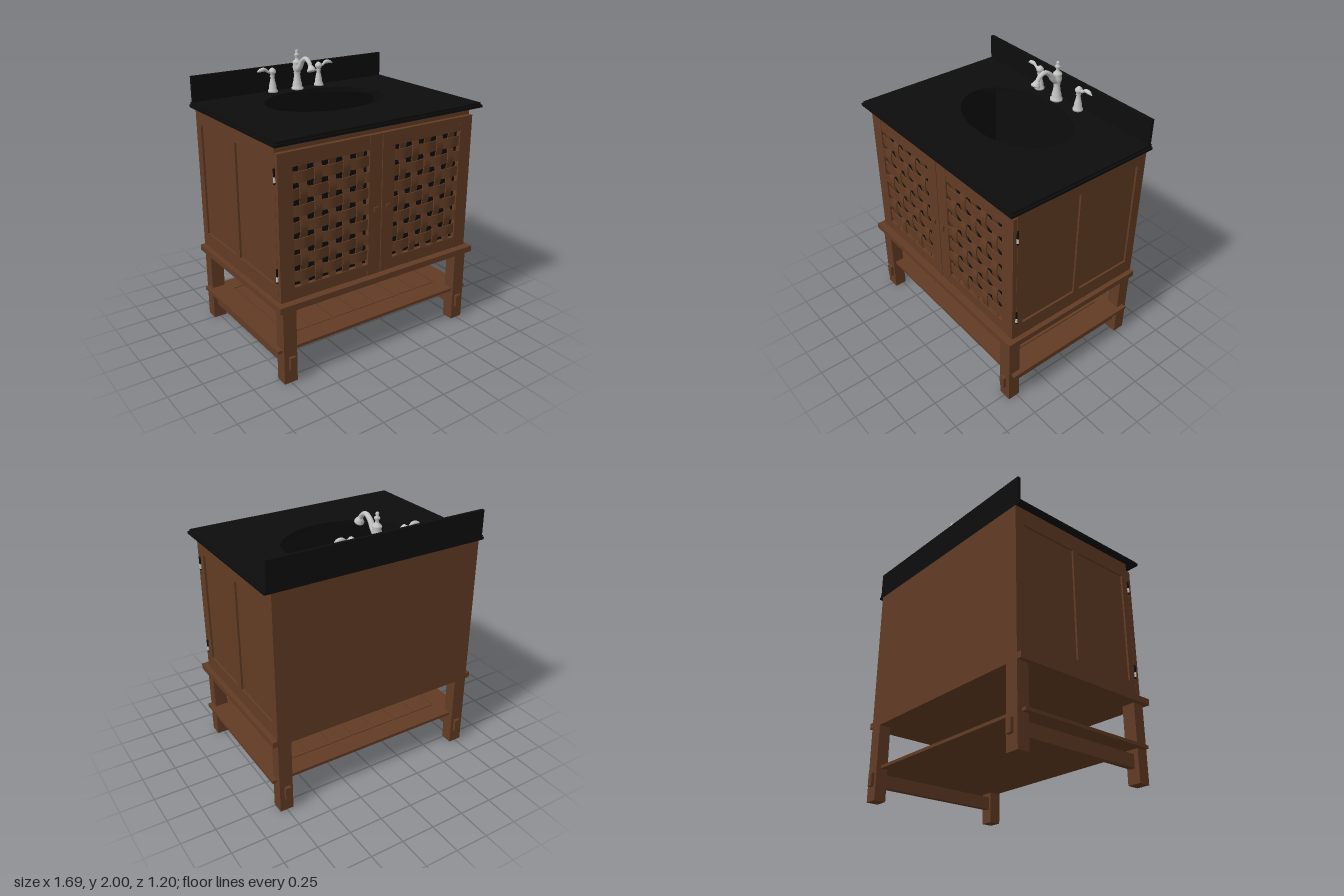
import * as THREE from 'three';

const material = (name, color, side = THREE.FrontSide) => {
  const m = new THREE.MeshStandardMaterial({ color, side });
  m.name = name;
  return m;
};

export function createModel() {
  const wood = material('brown wood', 0x623c24);
  const stone = material('black stone', 0x0d0d0d);
  const metal = material('brushed metal', 0xc4c4c4);
  const model = new THREE.Group();
  model.name = 'vanity';

  const add = (name, geometry, mat, parent = model) => {
    const mesh = new THREE.Mesh(geometry, mat);
    mesh.name = name;
    parent.add(mesh);
    return mesh;
  };
  // Box given by its extents on each axis
  const box = (name, x0, x1, y0, y1, z0, z1, mat = wood, parent = model) => {
    const mesh = add(name, new THREE.BoxGeometry(Math.abs(x1 - x0), y1 - y0, z1 - z0), mat, parent);
    mesh.position.set((x0 + x1) / 2, (y0 + y1) / 2, (z0 + z1) / 2);
    return mesh;
  };
  const group = (name) => {
    const g = new THREE.Group();
    g.name = name;
    model.add(g);
    return g;
  };
  const rect = (Type, x0, x1, y0, y1) => {
    const p = new Type();
    p.moveTo(x0, y0).lineTo(x1, y0).lineTo(x1, y1).lineTo(x0, y1).closePath();
    return p;
  };
  const lathe = (name, points, parent) =>
    add(name, new THREE.LatheGeometry(points.map(([r, y]) => new THREE.Vector2(r, y)), 28), metal, parent);
  // Round tube along a curve whose radius follows a list of values
  const taperedTube = (name, points, radii, parent) => {
    const curve = new THREE.CatmullRomCurve3(points.map((p) => new THREE.Vector3(...p)));
    const n = 28, sides = 14;
    const geo = new THREE.TubeGeometry(curve, n, 1, sides);
    const pos = geo.attributes.position, v = new THREE.Vector3();
    for (let i = 0; i <= n; i++) {
      const t = (i / n) * (radii.length - 1), k = Math.min(Math.floor(t), radii.length - 2);
      const r = THREE.MathUtils.lerp(radii[k], radii[k + 1], t - k);
      const c = curve.getPointAt(i / n);
      for (let j = 0; j <= sides; j++) {
        const q = i * (sides + 1) + j;
        v.fromBufferAttribute(pos, q).sub(c).multiplyScalar(r).add(c);
        pos.setXYZ(q, v.x, v.y, v.z);
      }
    }
    geo.computeVertexNormals();
    return add(name, geo, metal, parent);
  };

  // Legs and side stretchers with through tenons
  const stand = group('stand');
  for (const s of [-1, 1]) {
    box('frontLeg', s * 0.7, s * 0.8, 0, 0.556, 0.48, 0.57, wood, stand);
    box('backLeg', s * 0.7, s * 0.8, 0, 0.556, -0.58, -0.49, wood, stand);
    box('stretcher', s * 0.722, s * 0.765, 0.105, 0.2, -0.603, 0.592, wood, stand);
  }
  box('baseMoulding', -0.835, 0.835, 0.556, 0.6, -0.58, 0.6, wood, stand);

  // Lower shelf: board, raised border and slats
  const shelf = group('shelf');
  box('shelfBoard', -0.835, 0.835, 0.235, 0.247, -0.545, 0.55, wood, shelf);
  for (const s of [-1, 1]) {
    box('shelfEnd', s * 0.665, s * 0.835, 0.247, 0.257, -0.545, 0.55, wood, shelf);
  }
  box('shelfFrontRail', -0.665, 0.665, 0.247, 0.257, 0.4, 0.55, wood, shelf);
  box('shelfBackRail', -0.665, 0.665, 0.247, 0.257, -0.545, -0.4, wood, shelf);
  for (let i = 0; i < 7; i++) {
    const x = -0.657 + i * 0.188;
    box('shelfSlat', x, x + 0.179, 0.247, 0.256, -0.392, 0.392, wood, shelf);
  }

  // Cabinet carcass with framed sides
  const cabinet = group('cabinet');
  box('backPanel', -0.8, 0.8, 0.6, 1.668, -0.58, -0.56, wood, cabinet);
  const frameShape = rect(THREE.Shape, -0.515, 0.56, 0.6, 1.668);
  frameShape.holes.push(rect(THREE.Path, -0.46, 0, 0.71, 1.545), rect(THREE.Path, 0.05, 0.51, 0.71, 1.545));
  for (const s of [-1, 1]) {
    const frame = add('sideFrame',
      new THREE.ExtrudeGeometry(frameShape, { depth: 0.02, bevelEnabled: false }), wood, cabinet);
    frame.rotation.y = Math.PI / 2;
    frame.position.x = s > 0 ? 0.78 : -0.8;
    box('sidePanel', s * 0.77, s * 0.785, 0.6, 1.668, -0.56, 0.5, wood, cabinet);
    box('frontPost', s * 0.7, s * 0.78, 0.6, 1.668, 0.49, 0.515, wood, cabinet);
    box('sideLining', s * 0.76, s * 0.768, 0.601, 1.668, -0.55, 0.49, stone, cabinet);
  }
  box('frontRail', -0.7, 0.7, 1.6, 1.668, 0.49, 0.514, wood, cabinet);
  box('backLining', -0.76, 0.76, 0.601, 1.668, -0.558, -0.55, stone, cabinet);
  box('frontLining', -0.76, 0.76, 0.601, 1.668, 0.481, 0.489, stone, cabinet);
  box('doorBacking', -0.7, 0.7, 0.601, 1.6, 0.5, 0.508, stone, cabinet);

  // Doors with basket-weave panels, knobs and hinges
  const px = 0.109, py = 0.1125, x0 = 0.178, y0 = 0.762, wave = 0.008;
  for (const s of [-1, 1]) {
    const door = group(s > 0 ? 'leftDoor' : 'rightDoor');
    box('outerStile', s * 0.693, s * 0.8, 0.603, 1.61, 0.517, 0.55, wood, door);
    box('innerStile', s * 0.003, s * 0.105, 0.603, 1.61, 0.517, 0.55, wood, door);
    box('topRail', s * 0.105, s * 0.693, 1.51, 1.61, 0.517, 0.548, wood, door);
    box('bottomRail', s * 0.105, s * 0.693, 0.603, 0.688, 0.517, 0.548, wood, door);
    for (let j = 0; j < 7; j++) {
      const geo = new THREE.BoxGeometry(0.59, 0.074, 0.008, 40, 1, 1);
      const p = geo.attributes.position;
      for (let k = 0; k < p.count; k++) {
        const a = (Math.PI * (p.getX(k) + 0.399 - x0)) / px + j * Math.PI;
        p.setZ(k, p.getZ(k) + wave * Math.cos(a));
      }
      geo.computeVertexNormals();
      add('horizontalStrip', geo, wood, door).position.set(s * 0.399, y0 + j * py, 0.54);
    }
    for (let i = 0; i < 5; i++) {
      const geo = new THREE.BoxGeometry(0.056, 0.83, 0.008, 1, 56, 1);
      const p = geo.attributes.position;
      const start = s > 0 ? i : 4 - i;
      for (let k = 0; k < p.count; k++) {
        const a = (Math.PI * (p.getY(k) + 1.099 - y0)) / py + start * Math.PI;
        p.setZ(k, p.getZ(k) - wave * Math.cos(a));
      }
      geo.computeVertexNormals();
      add('verticalStrip', geo, wood, door).position.set(s * (x0 + i * px), 1.099, 0.54);
    }
    const stem = add('knobStem', new THREE.CylinderGeometry(0.008, 0.01, 0.012, 12), stone, door);
    stem.rotation.x = Math.PI / 2;
    stem.position.set(s * 0.05, 1.088, 0.555);
    box('knob', s * 0.032, s * 0.068, 1.07, 1.106, 0.557, 0.567, wood, door);
    for (const y of [0.79, 1.462]) {
      add('hingeBarrel', new THREE.CylinderGeometry(0.007, 0.007, 0.1, 10), stone, door)
        .position.set(s * 0.804, y, 0.517);
      add('hingePin', new THREE.CylinderGeometry(0.008, 0.008, 0.035, 10), metal, door)
        .position.set(s * 0.804, y - 0.022, 0.517);
    }
  }

  // Countertop in two stepped layers with an oval basin opening
  const counter = group('counter');
  for (const [name, w, front, y, h] of [
    ['counterEdge', 0.845, 0.6, 1.668, 0.018], ['counterTop', 0.834, 0.59, 1.686, 0.016]]) {
    const shape = rect(THREE.Shape, -w, w, -front, 0.58);
    const hole = new THREE.Path();
    hole.absellipse(0, 0.127, 0.462, 0.325, 0, Math.PI * 2, true);
    shape.holes.push(hole);
    const slab = add(name,
      new THREE.ExtrudeGeometry(shape, { depth: h, bevelEnabled: false, curveSegments: 48 }), stone, counter);
    slab.rotation.x = -Math.PI / 2;
    slab.position.y = y;
  }
  box('backsplash', -0.826, 0.826, 1.7, 1.886, -0.58, -0.557, stone, counter);

  // Faucet: turned column with finial and curved spout
  const faucet = group('faucet');
  faucet.position.set(0, 1.702, -0.5);
  lathe('faucetColumn', [[0, 0], [0.046, 0], [0.046, 0.012], [0.036, 0.022], [0.036, 0.04], [0.028, 0.07],
    [0.022, 0.115], [0.026, 0.125], [0.024, 0.135], [0.031, 0.15], [0.033, 0.17], [0.028, 0.19],
    [0.034, 0.2], [0.03, 0.21], [0.014, 0.225], [0.011, 0.24], [0.02, 0.255], [0.018, 0.265],
    [0.008, 0.272], [0.013, 0.285], [0.008, 0.296], [0, 0.298]], faucet);
  taperedTube('spout', [[0, 0.145, 0], [0, 0.175, 0.04], [0, 0.225, 0.08], [0, 0.247, 0.125],
    [0, 0.225, 0.17], [0, 0.185, 0.193]], [0.026, 0.022, 0.019, 0.017, 0.016, 0.016], faucet);
  const nozzle = lathe('nozzle', [[0, -0.024], [0.032, -0.024], [0.034, -0.014], [0.024, 0.004],
    [0.017, 0.018], [0, 0.02]], faucet);
  nozzle.position.set(0, 0.188, 0.194);
  nozzle.rotation.x = -0.4;

  // Handles with outward levers
  for (const s of [-1, 1]) {
    const handle = group(s > 0 ? 'leftHandle' : 'rightHandle');
    handle.position.set(s * 0.203, 1.702, -0.517);
    lathe('handleColumn', [[0, 0], [0.037, 0], [0.037, 0.012], [0.029, 0.024], [0.028, 0.045], [0.02, 0.08],
      [0.014, 0.112], [0.021, 0.12], [0.014, 0.128], [0.026, 0.145], [0.028, 0.158], [0.018, 0.172],
      [0.01, 0.178], [0, 0.184]], handle);
    taperedTube('lever', [[0, 0.15, 0], [s * 0.035, 0.155, 0], [s * 0.065, 0.174, 0], [s * 0.1, 0.172, 0],
      [s * 0.128, 0.161, 0]], [0.014, 0.011, 0.01, 0.015, 0.013, 0.002], handle);
  }
  return model;
}
